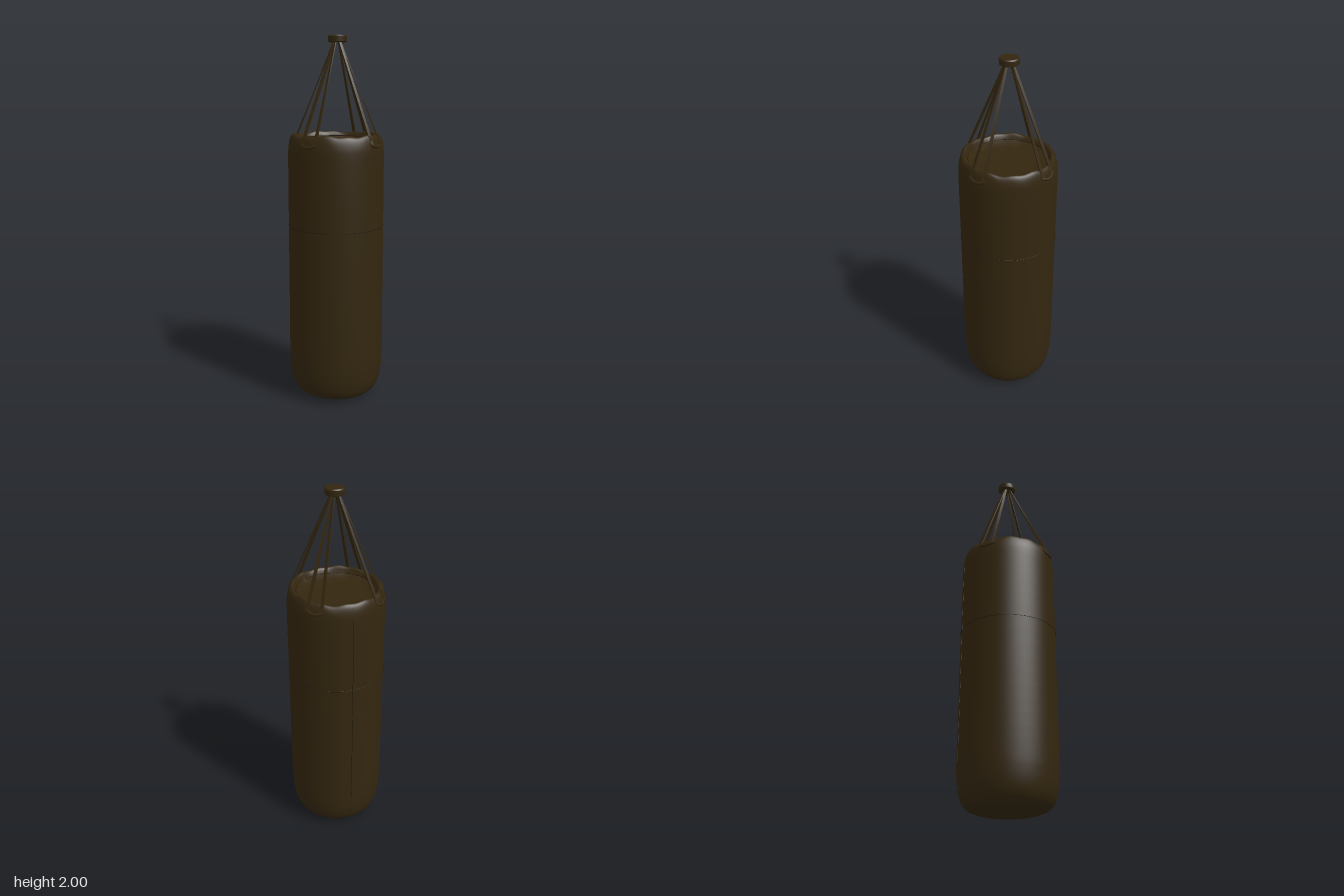
import * as THREE from 'three';

const leather = new THREE.MeshStandardMaterial({ color: 0x33260f });
leather.name = 'dark brown leather';
const stitch = new THREE.MeshStandardMaterial({ color: 0x1f1609 });
stitch.name = 'seam brown';

const V2 = (p) => new THREE.Vector2(p[0], p[1]);

function add(parent, name, geometry, material = leather) {
  const mesh = new THREE.Mesh(geometry, material);
  mesh.name = name;
  parent.add(mesh);
  return mesh;
}

// Stuffed bag: sagging base, straight wall, rolled rim and a shallow sunken lid
function bagGeometry() {
  const wall = [
    [0.18, 0.018], [0.212, 0.032], [0.236, 0.062], [0.252, 0.11], [0.261, 0.18], [0.264, 0.28],
    [0.263, 0.6], [0.262, 0.985], [0.261, 1.3], [0.26, 1.39], [0.256, 1.432], [0.247, 1.462],
    [0.235, 1.477], [0.222, 1.476], [0.213, 1.462],
  ];
  const curve = new THREE.SplineCurve(wall.map(V2));
  const profile = [[0, 0], [0.09, 0.004], [0.165, 0.012]].map(V2)
    .concat(curve.getPoints(70), [[0.207, 1.448], [0.15, 1.442], [0.07, 1.439], [0, 1.438]].map(V2));
  const geometry = new THREE.LatheGeometry(profile, 72);
  // Ripple the rim
  const pos = geometry.attributes.position;
  for (let i = 0; i < pos.count; i++) {
    const x = pos.getX(i), y = pos.getY(i), z = pos.getZ(i);
    const r = Math.hypot(x, z), a = Math.atan2(z, x);
    const k = THREE.MathUtils.smoothstep(y, 1.42, 1.475) * THREE.MathUtils.smoothstep(r, 0.15, 0.22);
    const wave = 0.004 * Math.sin(5 * a + 1) + 0.003 * Math.sin(13 * a) + 0.004 * Math.sin(a - 0.6);
    pos.setY(i, y + k * (wave + 0.004));
  }
  geometry.computeVertexNormals();
  return geometry;
}

// Flat strap between two points, wider at the bag and slightly twisted
function strap(parent, from, to, twist) {
  const length = from.distanceTo(to);
  const geometry = new THREE.BoxGeometry(0.018, length, 0.006, 1, 8, 1);
  const pos = geometry.attributes.position;
  for (let i = 0; i < pos.count; i++) {
    const t = pos.getY(i) / length + 0.5;
    const x = pos.getX(i) * (1 - 0.35 * t), z = pos.getZ(i), a = twist * (0.3 + t);
    pos.setX(i, x * Math.cos(a) - z * Math.sin(a));
    pos.setZ(i, x * Math.sin(a) + z * Math.cos(a));
  }
  geometry.computeVertexNormals();
  const mesh = add(parent, 'strap', geometry);
  const up = to.clone().sub(from).normalize();
  const side = new THREE.Vector3(from.z, 0, -from.x).normalize();
  const out = side.clone().cross(up).normalize();
  mesh.quaternion.setFromRotationMatrix(new THREE.Matrix4().makeBasis(side, up, out));
  mesh.position.copy(from).add(to).multiplyScalar(0.5);
}

export function createModel() {
  const model = new THREE.Group();
  model.name = 'hangingBag';
  add(model, 'bag', bagGeometry());

  // Seams around the middle and down the back
  const ring = add(model, 'middleSeam', new THREE.TorusGeometry(0.262, 0.0016, 6, 72), stitch);
  ring.rotation.x = Math.PI / 2;
  ring.position.y = 0.985;
  const a = THREE.MathUtils.degToRad(57);
  const seamPoints = [[0.254, 0.12], [0.264, 0.28], [0.263, 0.6], [0.262, 0.985], [0.261, 1.3], [0.26, 1.39], [0.247, 1.462]]
    .map(([r, y]) => new THREE.Vector3(r * Math.cos(a), y, -r * Math.sin(a)));
  add(model, 'backSeam', new THREE.TubeGeometry(new THREE.CatmullRomCurve3(seamPoints), 40, 0.0014, 5), stitch);

  // Crease where the lid meets the rolled rim
  const crease = add(model, 'lidSeam', new THREE.TorusGeometry(0.21, 0.002, 6, 28), stitch);
  crease.rotation.x = Math.PI / 2;
  crease.position.y = 1.456;

  // Four pairs of straps, each pair joined by a loop at the rim
  const centre = 0.01;
  for (let i = 0; i < 4; i++) {
    const pair = new THREE.Group();
    pair.name = 'strapPair';
    const ends = [69, 87].map((d) => THREE.MathUtils.degToRad(d + i * 90));
    ends.forEach((angle, j) => {
      const c = Math.cos(angle), s = Math.sin(angle);
      strap(pair, new THREE.Vector3(0.257 * c, 1.438, 0.257 * s),
        new THREE.Vector3(centre + 0.014 * c, 1.98, 0.014 * s), (j ? 0.25 : -0.5) * (i % 2 ? -1 : 1));
    });
    const loop = [];
    for (let k = 0; k <= 8; k++) {
      const t = k / 8, angle = THREE.MathUtils.lerp(ends[0] - 0.03, ends[1] + 0.03, t);
      const r = 0.253 + 0.007 * Math.sin(Math.PI * t);
      loop.push(new THREE.Vector3(r * Math.cos(angle), 1.44 - 0.012 * Math.sin(Math.PI * t), r * Math.sin(angle)));
    }
    add(pair, 'rimLoop', new THREE.TubeGeometry(new THREE.CatmullRomCurve3(loop), 24, 0.008, 8));
    model.add(pair);
  }

  // Round hanger cap
  const cap = [[0, 1.964], [0.044, 1.964], [0.044, 1.964], [0.05, 1.968], [0.05, 1.968], [0.051, 1.994],
    [0.051, 1.994], [0.046, 2], [0.046, 2], [0, 2]].map(V2);
  add(model, 'hangerCap', new THREE.LatheGeometry(cap, 32)).position.x = centre;
  return model;
}
